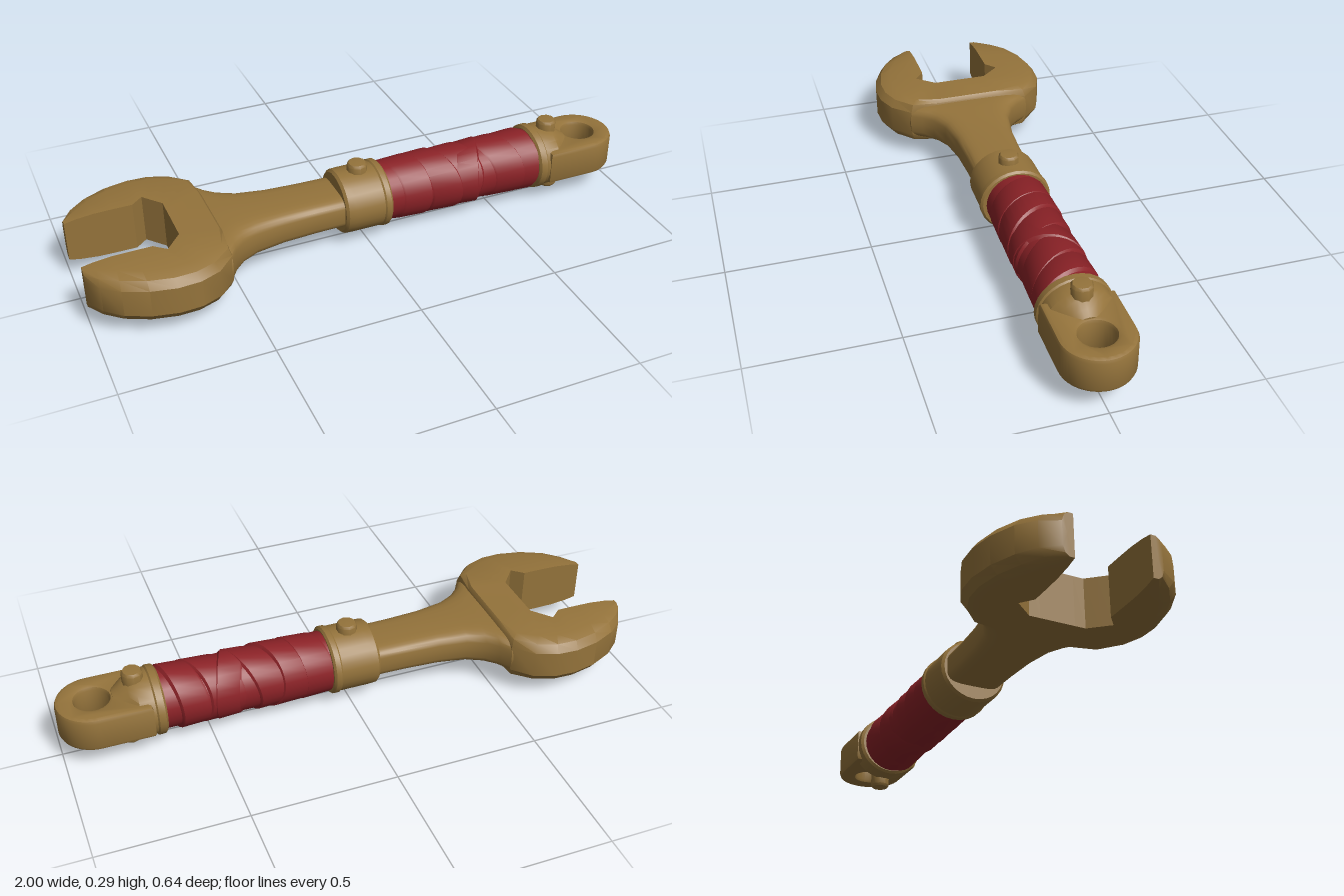
import * as THREE from 'three';
import { toCreasedNormals } from 'three/addons/utils/BufferGeometryUtils.js';

const CY = 0.143; // height of the long axis

// Closed solid through a row of cross-section loops, capped at both ends.
function loft(rings, crease = 0.6) {
  const n = rings[0].length, tris = [];
  const centre = (r) => r.reduce((s, p) => s.add(p), new THREE.Vector3()).divideScalar(n);
  const first = rings[0], last = rings[rings.length - 1];
  const c0 = centre(first), c1 = centre(last);
  for (let j = 0; j < n; j++) {
    const k = (j + 1) % n;
    for (let i = 0; i < rings.length - 1; i++) {
      const a = rings[i][j], b = rings[i][k], c = rings[i + 1][k], d = rings[i + 1][j];
      tris.push([a, b, c], [a, c, d]);
    }
    tris.push([c0, first[k], first[j]], [c1, last[j], last[k]]);
  }
  // Turn the faces outward if the volume comes out negative
  const volume = tris.reduce((s, [a, b, c]) => s + a.dot(b.clone().cross(c)), 0);
  const pts = tris.flatMap(([a, b, c]) => (volume < 0 ? [a, c, b] : [a, b, c]));
  return toCreasedNormals(new THREE.BufferGeometry().setFromPoints(pts), crease);
}

// Loop around the x axis; power below 1 makes it boxier, shear slants it.
function ring(x, hy, hz, power = 1, shear = 0, phase = 0, n = 28) {
  const bend = (v) => Math.sign(v) * Math.abs(v) ** power;
  return Array.from({ length: n }, (_, i) => {
    const a = (i / n) * Math.PI * 2;
    return new THREE.Vector3(x + shear * Math.cos(a - phase),
      CY + hy * bend(Math.cos(a)), hz * bend(Math.sin(a)));
  });
}

export function createModel() {
  const group = new THREE.Group();
  const brass = new THREE.MeshStandardMaterial({ color: 0x94733b });
  brass.name = 'brass';
  const red = new THREE.MeshStandardMaterial({ color: 0x8c2227 });
  red.name = 'red wrap';
  const add = (name, geometry, material = brass) => {
    const mesh = new THREE.Mesh(geometry, material);
    mesh.name = name;
    group.add(mesh);
    return mesh;
  };

  // Open jaw: mouth x, z, outer x, z, half height, edge rounding
  const half = [
    [-1, 0.128, -1, 0.165, 0.072, 0.02],
    [-0.96, 0.128, -0.965, 0.222, 0.08, 0.05],
    [-0.9, 0.128, -0.91, 0.267, 0.086, 0.06],
    [-0.84, 0.128, -0.83, 0.303, 0.087, 0.06],
    [-0.77, 0.128, -0.745, 0.32, 0.087, 0.06],
    [-0.73, 0.162, -0.67, 0.316, 0.087, 0.06],
    [-0.703, 0.13, -0.6, 0.288, 0.087, 0.055],
    [-0.675, 0.097, -0.54, 0.225, 0.087, 0.035],
    [-0.675, 0.06, -0.532, 0.12, 0.087, 0.015],
  ];
  const stations = [...half, ...half.slice().reverse().map(([a, b, c, d, h, r]) => [a, -b, c, -d, h, r])];
  const jaw = stations.map(([px, pz, ox, oz, h, r]) => {
    const len = Math.hypot(ox - px, oz - pz);
    const at = (inset, y) => {
      const t = 1 - inset / len;
      return new THREE.Vector3(px + (ox - px) * t, CY + y, pz + (oz - pz) * t);
    };
    return [at(len, h), at(r, h), at(r * 0.35, h * 0.86), at(0, h * 0.55),
      at(0, -h * 0.55), at(r * 0.35, -h * 0.86), at(r, -h), at(len, -h)];
  });
  add('openJaw', loft(jaw));

  // Neck flaring into the jaw
  add('neck', loft([
    [-0.6, 0.07, 0.25], [-0.54, 0.07, 0.23], [-0.515, 0.07, 0.19], [-0.48, 0.069, 0.155],
    [-0.42, 0.065, 0.125], [-0.32, 0.061, 0.108], [-0.2, 0.059, 0.102], [-0.05, 0.058, 0.1],
  ].map(([x, hy, hz]) => ring(x, hy, hz, 0.5))));

  // Collar between neck and grip
  add('frontCollar', loft([
    [-0.097, 0.104], [-0.088, 0.112], [-0.06, 0.113], [0.045, 0.113], [0.05, 0.117], [0.068, 0.117], [0.075, 0.11],
  ].map(([x, r]) => ring(x, r, r * 1.07))));

  // Wrapped grip: a core under slanted overlapping bands
  add('gripCore', loft([ring(0.06, 0.105, 0.105), ring(0.67, 0.105, 0.105)]), red);
  const bands = [
    [0.09, 0.21, 0.03, 1.5], [0.18, 0.31, 0.05, 1.8], [0.27, 0.39, 0.05, 1.2],
    [0.36, 0.46, -0.04, 1.5], [0.43, 0.56, 0.05, 1.7], [0.53, 0.64, 0.03, 1.3],
  ];
  bands.forEach(([x0, x1, shear, phase], i) => {
    const r = 0.111 + 0.002 * (i % 2);
    add('gripBand', loft([
      ring(x0, 0.103, 0.103, 1, shear, phase), ring(x0 + 0.012, r - 0.003, r - 0.003, 1, shear, phase),
      ring(x1 - 0.012, r + 0.002, r, 1, shear, phase), ring(x1, 0.102, 0.102, 1, shear, phase),
    ]), red);
  });

  // Rear collar sloping down to the hanging eye
  add('rearCollar', loft([
    [0.655, 0.107], [0.662, 0.116], [0.685, 0.117], [0.69, 0.112], [0.74, 0.111],
    [0.765, 0.1], [0.79, 0.081], [0.812, 0.066],
  ].map(([x, r], i) => ring(x, r, i < 5 ? r * 1.07 : r * 0.95))));

  // Hanging eye with a chamfered hole
  const eye = new THREE.Shape();
  eye.moveTo(0.7, -0.122);
  eye.lineTo(0.878, -0.122);
  eye.absarc(0.878, 0, 0.122, -Math.PI / 2, Math.PI / 2, false);
  eye.lineTo(0.7, 0.122);
  eye.closePath();
  eye.holes.push(new THREE.Path().absarc(0.878, 0, 0.058, 0, Math.PI * 2, true));
  const eyeGeometry = new THREE.ExtrudeGeometry(eye, {
    depth: 0.097, bevelEnabled: true, bevelThickness: 0.014, bevelSize: 0.014,
    bevelOffset: -0.014, bevelSegments: 2, curveSegments: 14,
  });
  eyeGeometry.rotateX(Math.PI / 2).translate(0, CY + 0.0485, 0);
  add('hangingEye', toCreasedNormals(eyeGeometry, 0.6));

  // Rounded bolts on the collars: two above, one below
  const boltProfile = [[0, 0], [0.036, 0], [0.036, 0.048], [0.03, 0.057], [0, 0.06]]
    .map(([r, y]) => new THREE.Vector2(r, y));
  [[-0.012, 1], [0.738, 1], [0.765, -1]].forEach(([x, side]) => {
    const bolt = add('collarBolt', toCreasedNormals(new THREE.LatheGeometry(boltProfile, 10), 0.7));
    bolt.position.set(x, CY + side * 0.083, 0);
    if (side < 0) bolt.rotation.x = Math.PI;
  });

  return group;
}
